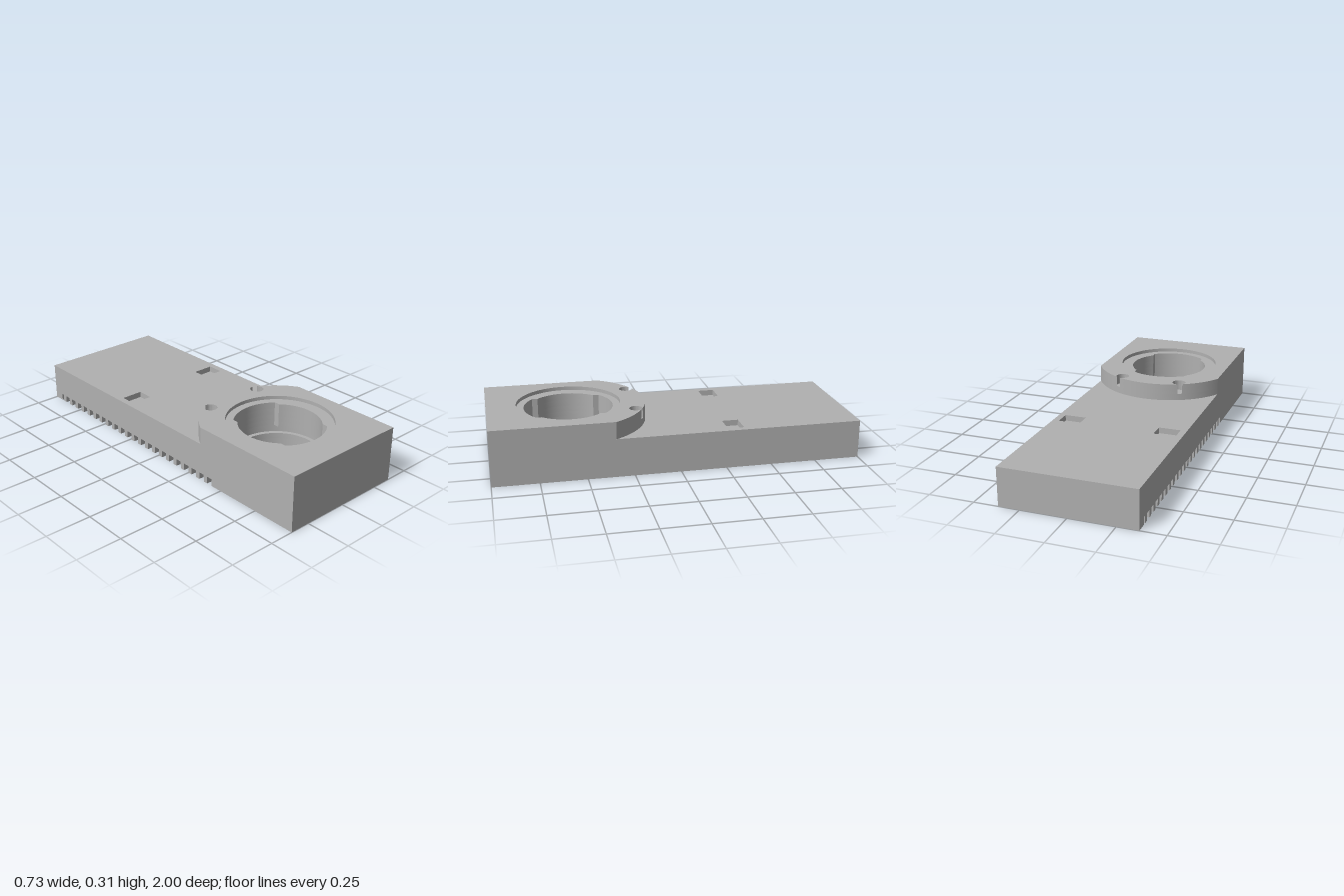
import * as THREE from 'three';
import { toCreasedNormals } from 'three/addons/utils/BufferGeometryUtils.js';

const W = 0.365, L = 1, T = 0.063;        // half width, half length, wall thickness
const CZ = 0.555;                         // z of the round socket
const HEAD_R = 0.42, BORE = 0.22, GROOVE = 0.243;
const CEILING = 0.08, DECK = 0.212, TOP = 0.307, SLOT_H = 0.04;

// Points of an arc in plan (x, z)
function arc(r, a0, a1, n = 24, cx = 0, cz = CZ) {
  return Array.from({ length: n + 1 }, (_, i) => {
    const a = a0 + (a1 - a0) * i / n;
    return new THREE.Vector2(cx + r * Math.cos(a), cz + r * Math.sin(a));
  });
}
const circle = (r) => arc(r, 0, Math.PI * 2, 80).slice(0, -1);
const poly = (...p) => p.map(([x, z]) => new THREE.Vector2(x, z));
const rect = (x0, x1, z0, z1) => poly([x0, z0], [x1, z0], [x1, z1], [x0, z1]);

// Bore with two wide bayonet entries at front and back
function bayonet() {
  const a = Math.acos(0.155 / BORE), b = Math.acos(0.155 / GROOVE), P = Math.PI;
  return [...arc(BORE, -a, a), ...arc(GROOVE, b, P - b),
    ...arc(BORE, P - a, P + a), ...arc(GROOVE, P + b, 2 * P - b)];
}

// Head outline with a rounded back edge, optionally cut by two pin holes
function headOutline(pinHoles) {
  const s = -Math.acos(W / HEAD_R), e = -Math.PI - s;
  const pts = poly([-W, L], [W, L]);
  if (!pinHoles) return [...pts, ...arc(HEAD_R, s, e, 64)];
  const d = 0.386, r = 0.0365, half = 0.0321, open = 0.379;
  let from = s;
  for (const x of [0.172, -0.172]) {
    const t = Math.atan2(-0.345, x);
    pts.push(...arc(HEAD_R, from, t + half, 20));
    pts.push(...arc(r, t + open, t + Math.PI * 2 - open, 28,
      d * Math.cos(t), CZ + d * Math.sin(t)).slice(1, -1));
    from = t - half;
  }
  return [...pts, ...arc(HEAD_R, from, e, 20)];
}

export function createModel() {
  const group = new THREE.Group();
  const grey = new THREE.MeshStandardMaterial({ color: 0xb0b0b0 });
  grey.name = 'grey';

  // Horizontal slab between two heights, cut by holes
  function slab(name, outline, holes, y0, y1) {
    const shape = new THREE.Shape(outline);
    shape.holes = holes.map((h) => new THREE.Path(h));
    const geo = new THREE.ExtrudeGeometry(shape, { depth: y1 - y0, bevelEnabled: false });
    geo.rotateX(Math.PI / 2).translate(0, y1, 0);
    const mesh = new THREE.Mesh(toCreasedNormals(geo, 0.5), grey);
    mesh.name = name;
    group.add(mesh);
  }

  const base = rect(-W, W, -L, L);
  const inner = rect(-W + T, W - T, -L + T, L - T);

  // Bottom rim: three plain walls, and a right wall cut by 23 slots
  slab('rim', poly([-W, -L], [W, -L], [W, L], [-W, L], [-W, L - T],
    [W - T, L - T], [W - T, -L + T], [-W, -L + T]), [], 0, SLOT_H);
  let z = -L + T;
  for (let i = 0; i <= 23; i++) {
    const slot = -0.938 + i * 0.06155;
    const end = i < 23 ? slot - 0.0175 : L - T;
    if (end > z) slab('rimTooth', rect(-W, -W + T, z, end), [], 0, SLOT_H);
    z = slot + 0.0175;
  }
  slab('walls', base, [inner], SLOT_H, CEILING);

  // Round collar hanging under the socket
  slab('collar', circle(0.285), [circle(BORE)], 0, CEILING);

  // Deck, with the bayonet groove inside and two blind pockets on top
  const pockets = [rect(-0.33, -0.21, -0.35, -0.26), rect(0.21, 0.33, -0.35, -0.26)];
  slab('deckBottom', base, [circle(BORE)], CEILING, 0.112);
  slab('deckGroove', base, [circle(GROOVE)], 0.112, 0.15);
  slab('deckMiddle', base, [bayonet()], 0.15, 0.18);
  slab('deckTop', base, [bayonet(), ...pockets], 0.18, DECK);

  // Raised head with pin holes and a shallow counterbore
  slab('headBottom', headOutline(false), [bayonet()], DECK, 0.25);
  slab('headMiddle', headOutline(true), [bayonet()], 0.25, 0.287);
  slab('headTop', headOutline(true), [circle(0.284)], 0.287, TOP);

  return group;
}
